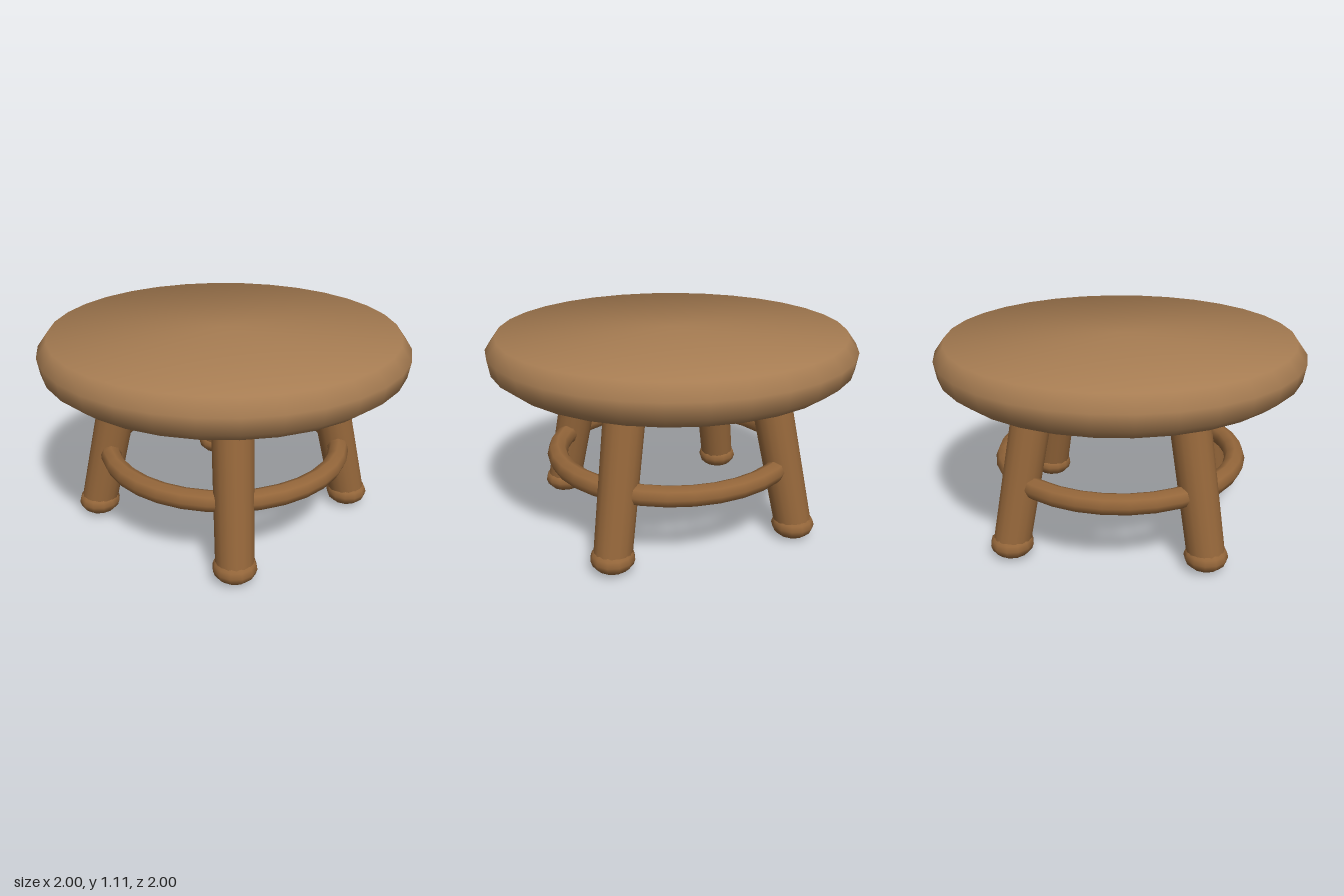
import * as THREE from 'three';
import { toCreasedNormals } from 'three/addons/utils/BufferGeometryUtils.js';

const seatWood = new THREE.MeshStandardMaterial({ color: 0xa67c52 });
const legWood = new THREE.MeshStandardMaterial({ color: 0x94663a });

function addMesh(parent, name, geometry, material) {
  const mesh = new THREE.Mesh(geometry, material);
  mesh.name = name;
  parent.add(mesh);
  return mesh;
}

// Cylinder running between two points
function rod(bottom, top, bottomRadius, topRadius) {
  const along = top.clone().sub(bottom);
  const geometry = new THREE.CylinderGeometry(topRadius, bottomRadius, along.length(), 16);
  geometry.applyQuaternion(new THREE.Quaternion().setFromUnitVectors(
    new THREE.Vector3(0, 1, 0), along.normalize()));
  const middle = bottom.clone().add(top).multiplyScalar(0.5);
  return geometry.translate(middle.x, middle.y, middle.z);
}

export function createModel() {
  const model = new THREE.Group();
  model.name = 'stool';

  // Round seat with a softened rim, flat beneath and barely domed on top
  const profile = [
    [0, 0.885], [0.915, 0.885], [0.985, 0.94], [1, 1.03], [0.945, 1.105], [0, 1.115],
  ].map(([x, y]) => new THREE.Vector2(x, y));
  const seat = new THREE.LatheGeometry(profile, 32);
  addMesh(model, 'seat', toCreasedNormals(seat, 0.97), seatWood);

  // Four splayed legs, each on a flattened ball foot
  for (const [side, sx] of [['Left', 1], ['Right', -1]]) {
    for (const [end, sz] of [['front', 1], ['back', -1]]) {
      const leg = new THREE.Group();
      leg.name = `${end}${side}Leg`;
      const bottom = new THREE.Vector3(0.52 * sx, 0.07, 0.52 * sz);
      const top = new THREE.Vector3(0.38 * sx, 0.95, 0.38 * sz);
      addMesh(leg, 'legPost', rod(bottom, top, 0.1, 0.108), legWood);
      const foot = addMesh(leg, 'foot', new THREE.SphereGeometry(0.117, 12, 8), legWood);
      foot.scale.y = 0.65;
      foot.position.set(0.518 * sx, 0.077, 0.518 * sz);
      model.add(leg);
    }
  }

  // Ring stretcher passing through all four legs
  const ring = addMesh(model, 'ringStretcher', new THREE.TorusGeometry(0.65, 0.057, 8, 32), legWood);
  ring.rotation.x = Math.PI / 2;
  ring.position.y = 0.413;

  return model;
}
